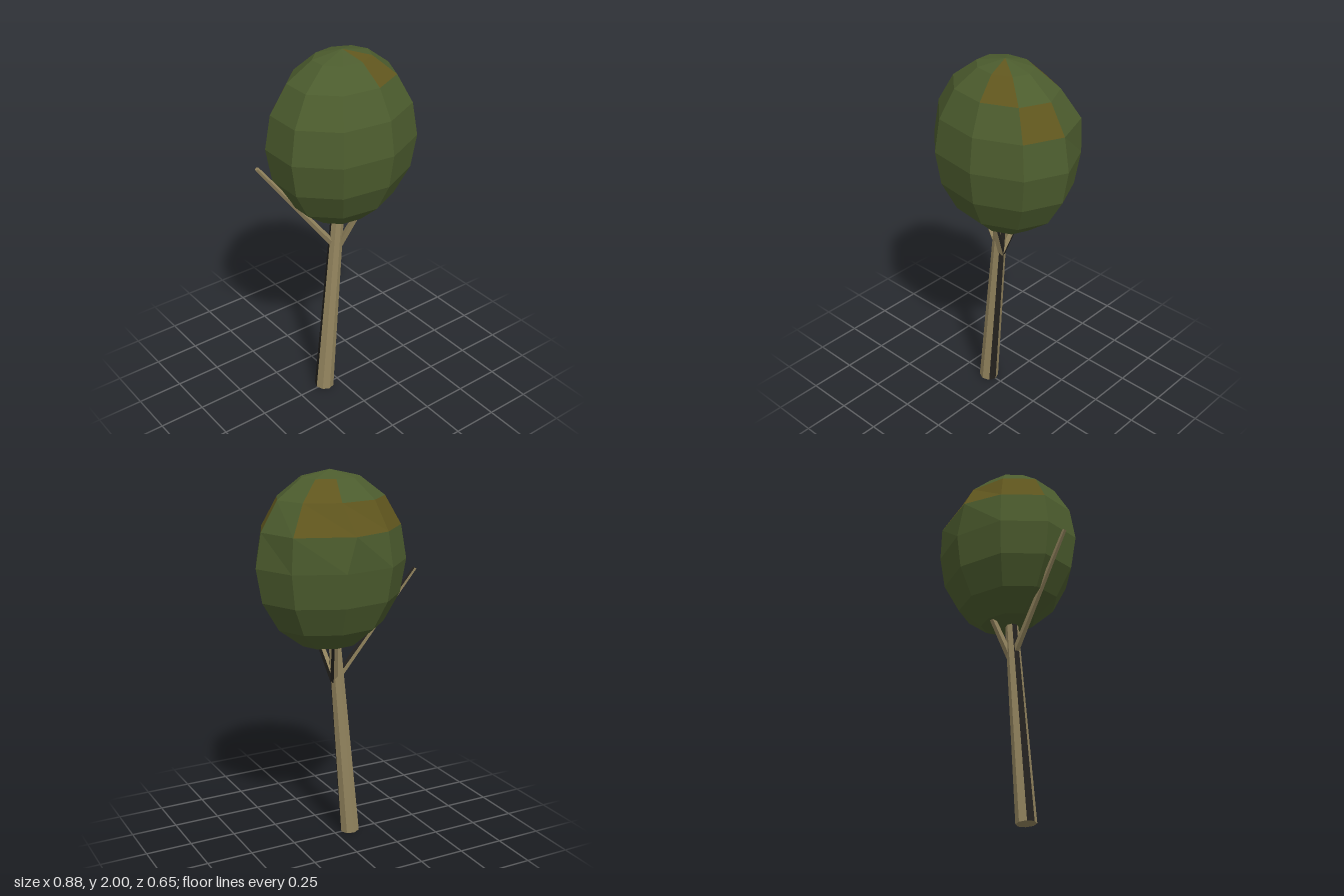
import * as THREE from 'three';

const mat = (name, color) => {
  const m = new THREE.MeshStandardMaterial({ color });
  m.name = name;
  return m;
};

// Faceted copy of a geometry: every face gets its own normal
function facet(geometry) {
  const g = geometry.toNonIndexed();
  g.computeVertexNormals();
  g.clearGroups();
  return g;
}

// Tapered limb from a to b; the side faces listed in darkFaces use the second material
function limb(name, a, b, r0, r1, sides, darkFaces, materials) {
  const start = new THREE.Vector3(...a);
  const end = new THREE.Vector3(...b);
  const dir = end.clone().sub(start);
  const g = facet(new THREE.CylinderGeometry(r1, r0, dir.length(), sides, 1));
  for (let i = 0; i < sides; i++) g.addGroup(i * 6, 6, darkFaces.includes(i) ? 1 : 0);
  g.addGroup(sides * 6, sides * 6, 0); // both end caps
  const mesh = new THREE.Mesh(g, materials);
  mesh.name = name;
  mesh.position.copy(start).add(end).multiplyScalar(0.5);
  mesh.quaternion.setFromUnitVectors(new THREE.Vector3(0, 1, 0), dir.normalize());
  return mesh;
}

// Faceted egg-shaped crown with a few olive patches
function crown(materials) {
  const COLS = 9, ROWS = 8;
  const sphere = new THREE.SphereGeometry(1, COLS, ROWS, Math.PI);
  const p = sphere.attributes.position;
  for (let i = 0; i < p.count; i++) {
    const row = Math.floor(i / (COLS + 1)), col = i % (COLS + 1);
    let x = p.getX(i), z = p.getZ(i);
    // back shoulder bulges slightly
    if (row === 3 && (col === 1 || col === 2)) {
      x = col === 1 ? x * 1.05 : x - 0.11;
      z *= 1.09;
    }
    p.setXYZ(i, x * 0.41, p.getY(i) * 0.465, z * 0.328);
  }
  const g = facet(sphere);

  // patches as row-column pairs, columns running from +x round the back
  const olive = ['0-7', '1-7', '1-1', '2-8', '2-1', '2-2', '2-3'];
  let start = 0;
  for (let row = 0; row < ROWS; row++) {
    const count = row === 0 || row === ROWS - 1 ? 3 : 6;
    for (let col = 0; col < COLS; col++) {
      g.addGroup(start, count, olive.includes(`${row}-${col}`) ? 1 : 0);
      start += count;
    }
  }
  const mesh = new THREE.Mesh(g, materials);
  mesh.name = 'crown';
  mesh.position.set(0.03, 1.535, 0);
  return mesh;
}

export function createModel() {
  const group = new THREE.Group();
  group.name = 'tree';
  const bark = [mat('bark', 0x94855f), mat('darkBark', 0x24221f)];
  const leaves = [mat('leafGreen', 0x4c5c2e), mat('leafOlive', 0x60561e)];

  group.add(limb('trunk', [-0.092, 0.005, 0], [0.012, 1.2, 0], 0.053, 0.033, 8, [1, 5], bark));

  // side branch sticking out of the crown, and a pair going up into it
  group.add(limb('sideBranch', [0.0, 0.89, 0], [-0.432, 1.47, -0.075], 0.02, 0.011, 5, [1], bark));
  for (const s of [1, -1]) {
    group.add(limb(s > 0 ? 'frontBranch' : 'backBranch',
      [0.005, 0.89, 0], [0.09, 1.3, s * 0.18], 0.021, 0.014, 5, [1], bark));
  }

  group.add(crown(leaves));
  return group;
}
